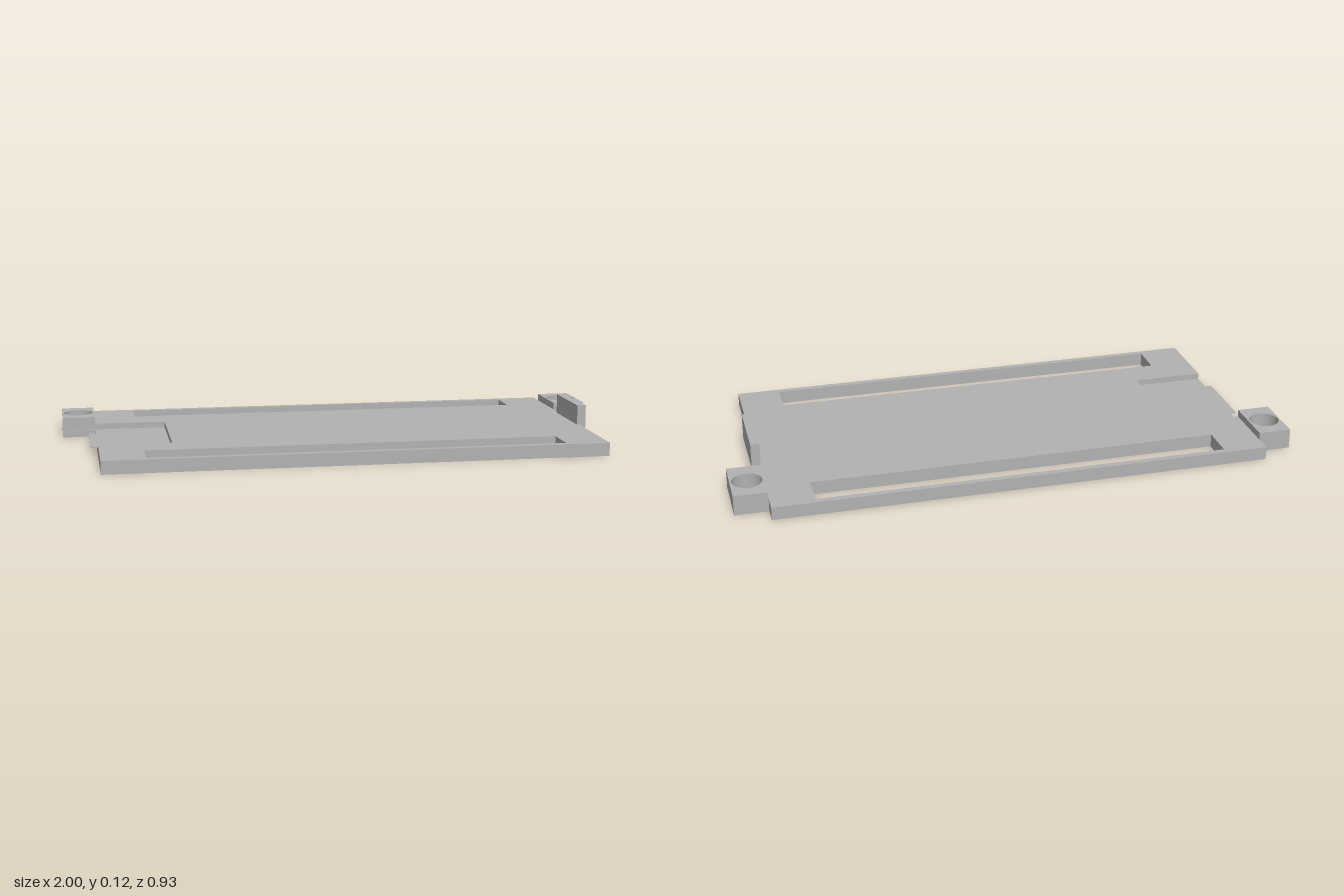
import * as THREE from 'three';

const grey = new THREE.MeshStandardMaterial({ color: 0xb2b2b2 });
grey.name = 'plain grey';

const STEP = 0.025; // height of the recess floor
const TOP = 0.047; // top of the plate
const EAR_TOP = 0.072;

// Rectangular path in plan, given as x and z ranges (shape y = -z)
function rectPoints(x0, x1, z0, z1) {
  return [[x0, -z1], [x1, -z1], [x1, -z0], [x0, -z0]].map(([x, y]) => new THREE.Vector2(x, y));
}

// Extrudes a plan outline with holes between two heights
function slab(name, points, holes, y0, y1) {
  const shape = new THREE.Shape(points);
  shape.holes.push(...holes);
  const geometry = new THREE.ExtrudeGeometry(shape, { depth: y1 - y0, bevelEnabled: false, curveSegments: 40 });
  geometry.rotateX(-Math.PI / 2).translate(0, y0, 0);
  const mesh = new THREE.Mesh(geometry, grey);
  mesh.name = name;
  return mesh;
}

function box(name, x0, x1, y0, y1, z0, z1) {
  const geometry = new THREE.BoxGeometry(x1 - x0, y1 - y0, z1 - z0);
  geometry.translate((x0 + x1) / 2, (y0 + y1) / 2, (z0 + z1) / 2);
  const mesh = new THREE.Mesh(geometry, grey);
  mesh.name = name;
  return mesh;
}

export function createModel() {
  const model = new THREE.Group();
  model.name = 'mountingPlate';

  // Plate with two long slots; the upper layer is notched for the recess
  const X = 0.882, Z = 0.465;
  const slots = [[-0.442, -0.32], [0.32, 0.442]].map(
    ([z0, z1]) => new THREE.Path(rectPoints(-0.73, 0.73, z0, z1)));
  const notched = [[-X, -Z], [X, -Z], [X, Z], [-X, Z], [-X, 0.2], [-0.625, 0.2], [-0.625, -0.2], [-X, -0.2]]
    .map(([x, y]) => new THREE.Vector2(x, y));
  model.add(slab('plateBase', rectPoints(-X, X, -Z, Z), slots, 0, STEP));
  model.add(slab('plateTop', notched, slots, STEP, TOP));

  // Screw ears at the back corners
  const earHole = (x) => new THREE.Path().absarc(x, 0.3, 0.053, 0, Math.PI * 2, true);
  model.add(slab('leftEar', rectPoints(X, 1, -0.401, -0.194), [earHole(0.941)], 0, EAR_TOP));

  // The right ear is trimmed above the recess floor
  model.add(slab('rightEarBase', rectPoints(-1, -X, -0.401, -0.194), [earHole(-0.941)], 0, STEP));
  model.add(slab('rightEarTop', rectPoints(-1, -X, -0.401, -0.2), [earHole(-0.941)], STEP, EAR_TOP));

  // Upright tab on one end, thin lip continuing the recess floor on the other
  model.add(box('endTab', 0.873, 0.905, STEP, 0.119, -0.125, 0.125));
  model.add(box('recessLip', -0.907, -X, STEP - 0.003, STEP, -0.125, 0.125));

  return model;
}
